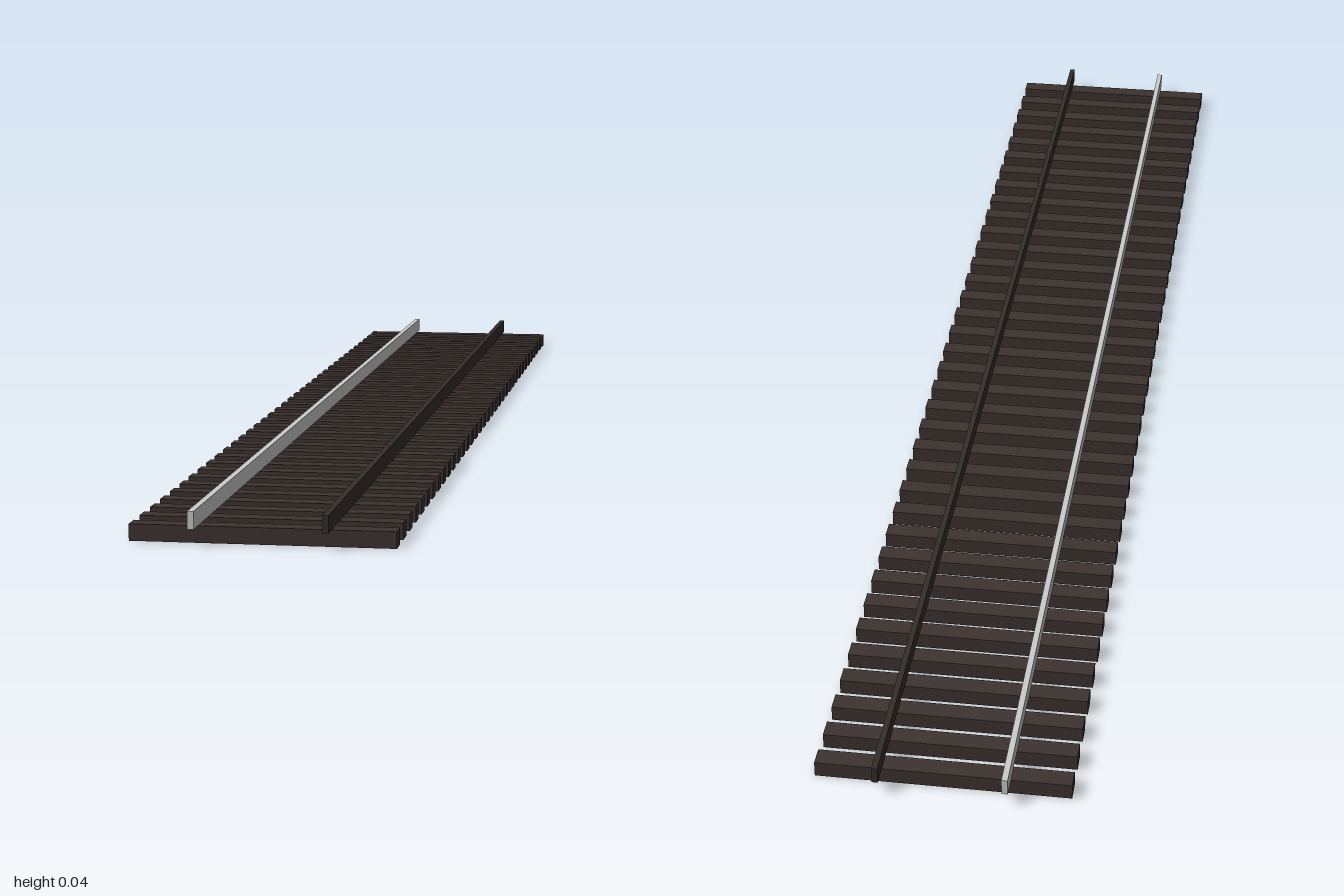
import * as THREE from 'three';

const TIE_COUNT = 36, TIE_SPACING = 0.055, TIE_CENTRE = 0.002;
const TIE_HEIGHT = 0.021, RAIL_HEIGHT = 0.022;

export function createModel() {
  const track = new THREE.Group();
  track.name = 'railwayTrack';

  const wood = new THREE.MeshStandardMaterial({ color: 0x3d3330 });
  const darkSteel = new THREE.MeshStandardMaterial({ color: 0x352e2b });
  const steel = new THREE.MeshStandardMaterial({ color: 0xcccccc });

  // Cross ties, evenly spaced along the track
  const ties = new THREE.Group();
  ties.name = 'ties';
  const tieGeometry = new THREE.BoxGeometry(0.33, TIE_HEIGHT, 0.026);
  for (let i = 0; i < TIE_COUNT; i++) {
    const tie = new THREE.Mesh(tieGeometry, wood);
    tie.name = `tie${i + 1}`;
    tie.position.set(0, TIE_HEIGHT / 2, TIE_CENTRE + (i - (TIE_COUNT - 1) / 2) * TIE_SPACING);
    ties.add(tie);
  }
  track.add(ties);

  // Two rails resting on the ties: dark on the left, bare on the right
  const railGeometry = new THREE.BoxGeometry(0.008, RAIL_HEIGHT, 2);
  const addRail = (name, x, material) => {
    const rail = new THREE.Mesh(railGeometry, material);
    rail.name = name;
    rail.position.set(x, TIE_HEIGHT + RAIL_HEIGHT / 2, 0);
    track.add(rail);
  };
  addRail('leftRail', 0.082, darkSteel);
  addRail('rightRail', -0.083, steel);

  return track;
}
